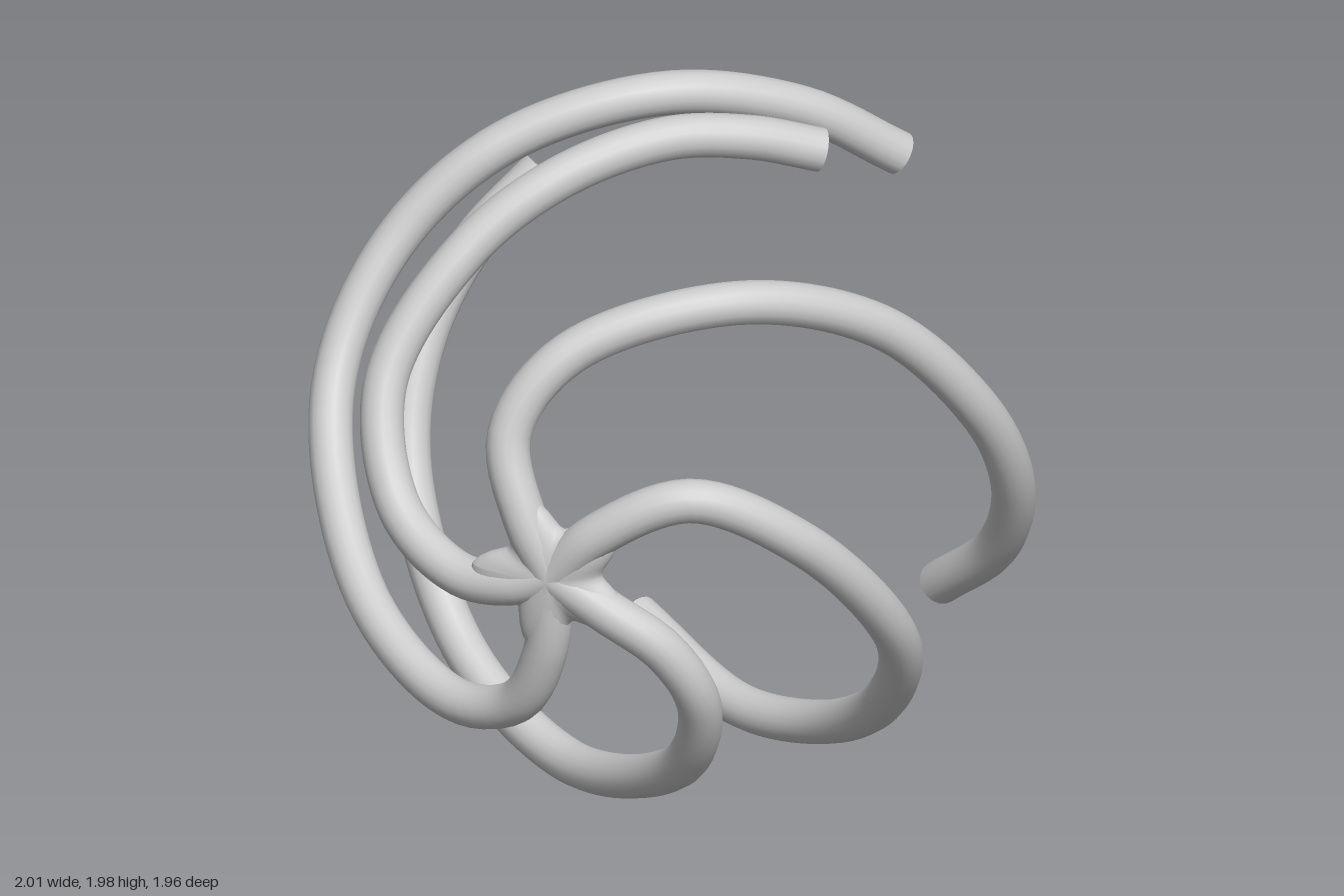
import * as THREE from 'three';

const RADIUS = 0.062;
const HUB = [0, 1, 0.92];

// Centre lines of the five spiral arms, each running from the hub to its free end
const ARMS = {
  upperArm: [HUB, [-0.08, 1.15, 0.92], [-0.15, 1.38, 0.86], [-0.02, 1.59, 0.74], [0.38, 1.705, 0.5],
    [0.7, 1.56, 0.21], [0.91, 1.22, -0.04], [0.94, 0.92, -0.22], [0.83, 0.64, -0.39], [0.61, 0.43, -0.53]],
  upperLeftArm: [HUB, [0.13, 1.14, 0.92], [0.38, 1.255, 0.85], [0.65, 1.09, 0.68], [0.81, 0.7, 0.37],
    [0.69, 0.38, 0.12], [0.42, 0.15, -0.13], [0.09, 0.075, -0.31], [-0.28, 0.19, -0.52]],
  lowerLeftArm: [HUB, [0.16, 0.91, 0.92], [0.31, 0.8, 0.88], [0.385, 0.62, 0.8], [0.27, 0.33, 0.62],
    [-0.2, 0.1, 0.25], [-0.6, 0.27, 0], [-0.85, 0.66, -0.25], [-0.88, 0.95, -0.42], [-0.8, 1.2, -0.59], [-0.64, 1.4, -0.74]],
  lowerArm: [HUB, [-0.03, 0.75, 0.9], [-0.13, 0.56, 0.85], [-0.35, 0.49, 0.76], [-0.7, 0.65, 0.52],
    [-0.94, 1.05, 0.13], [-0.86, 1.4, -0.11], [-0.6, 1.68, -0.29], [-0.2, 1.81, -0.5], [0.12, 1.72, -0.73], [0.35, 1.53, -0.92]],
  rightArm: [HUB, [-0.13, 0.95, 0.92], [-0.3, 0.94, 0.88], [-0.51, 1.06, 0.77], [-0.61, 1.35, 0.6],
    [-0.46, 1.67, 0.38], [-0.25, 1.85, 0.2], [0, 1.93, 0.01], [0.2, 1.91, -0.12], [0.37, 1.85, -0.23]],
};

function arm(name, points, material) {
  const group = new THREE.Group();
  group.name = name;
  const curve = new THREE.CatmullRomCurve3(points.map(p => new THREE.Vector3(...p)));
  const rod = new THREE.Mesh(new THREE.TubeGeometry(curve, 90, RADIUS, 18), material);
  rod.name = name + 'Rod';
  // Flat cut at the free end
  const cap = new THREE.Mesh(new THREE.CircleGeometry(RADIUS, 18), material);
  cap.name = name + 'EndCap';
  cap.position.copy(curve.getPointAt(1));
  cap.quaternion.setFromUnitVectors(new THREE.Vector3(0, 0, 1), curve.getTangentAt(1));
  group.add(rod, cap);
  return group;
}

// Flattened five-pointed star that fillets the joint between the arms
function hub(material) {
  const geometry = new THREE.SphereGeometry(1, 60, 20).rotateX(Math.PI / 2);
  const pos = geometry.attributes.position;
  for (let i = 0; i < pos.count; i++) {
    const x = pos.getX(i), y = pos.getY(i), z = pos.getZ(i);
    const phase = 5 * (Math.atan2(y, x) - THREE.MathUtils.degToRad(43));
    const reach = 0.145 + 0.05 * (1 + Math.cos(phase));
    pos.setXYZ(i, x * reach, y * reach, z * 0.06);
  }
  geometry.computeVertexNormals();
  const mesh = new THREE.Mesh(geometry, material);
  mesh.name = 'hub';
  mesh.position.set(...HUB);
  return mesh;
}

export function createModel() {
  const model = new THREE.Group();
  model.name = 'spiralCage';
  const material = new THREE.MeshStandardMaterial({ color: 0xcccccc });
  for (const [name, points] of Object.entries(ARMS)) model.add(arm(name, points, material));
  model.add(hub(material));
  return model;
}
